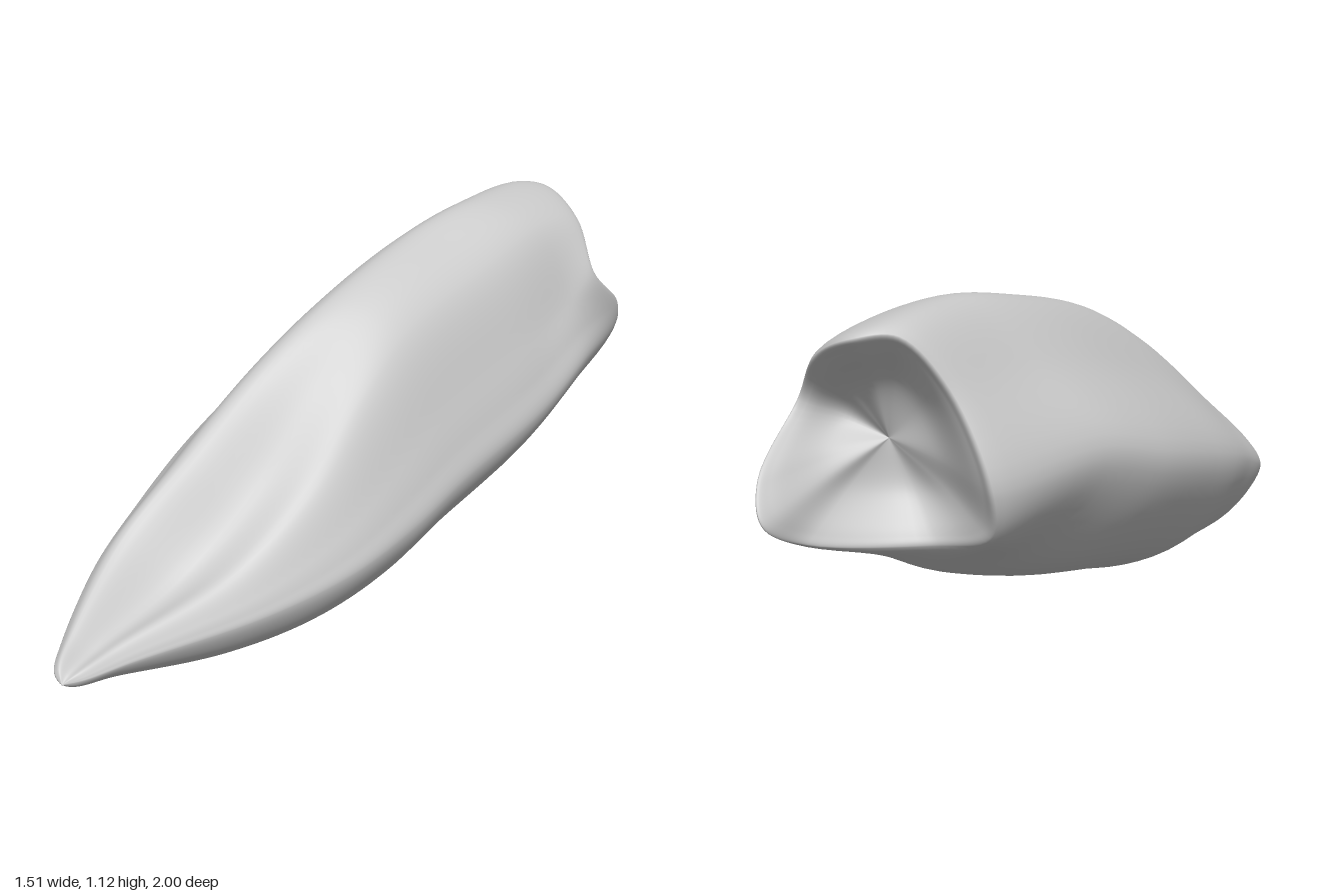
import * as THREE from 'three';

// Unit outlines, clockwise seen from the front: left, upper left, crest, scoop,
// ridge, right flank, lower flank, right, lower right, keel, lower left
const scooped = [[0, .66], [.07, .88], [.18, 1], [.5, .68], [.81, .75], [.94, .58], [.98, .49], [1, .4], [.85, .13], [.6, 0], [.22, .16]];
const domed = [[0, .42], [.24, .76], [.47, 1], [.63, .99], [.79, .89], [.92, .6], [.97, .46], [1, .33], [.87, .13], [.61, 0], [.26, .07]];

// Extents of the body from tip to rear: z, left, right, bottom, top
const stations = [
  [.97, -.75, -.66, .09, .15],
  [.87, -.76, -.55, .07, .205],
  [.6, -.735, -.21, .01, .38],
  [.4, -.68, .02, .005, .58],
  [.2, -.62, .18, .025, .8],
  [0, -.54, .31, .09, .945],
  [-.35, -.37, .53, .2, 1.06],
  [-.62, -.18, .66, .325, 1.115],
];

// Lobed rear rim with a notch on the right flank
const rim = [[.12, .67, -.97], [.23, .94, -.94], [.36, 1.09, -.96], [.48, 1.09, -.985], [.6, 1.01, -.86],
  [.665, .86, -.75], [.75, .69, -.94], [.735, .58, -1], [.63, .49, -.9], [.3, .45, -.79], [.13, .51, -.9]];

const AROUND = 88, ALONG = 96;

// The scooped front outline blends into the domed rear outline
function section([z, left, right, bottom, top]) {
  const blend = THREE.MathUtils.clamp((.6 - z) / .5, 0, 1);
  return scooped.map(([u, v], k) => new THREE.Vector3(
    THREE.MathUtils.lerp(left, right, THREE.MathUtils.lerp(u, domed[k][0], blend)),
    THREE.MathUtils.lerp(bottom, top, THREE.MathUtils.lerp(v, domed[k][1], blend)),
    z,
  ));
}

export function createModel() {
  const rimPoints = rim.map((p) => new THREE.Vector3(...p));
  const rings = [...stations.map(section), rimPoints];

  // Hollow rear: the rim turns inward to a shallow rounded bowl
  const hollow = new THREE.Vector3(.42, .74, -.71);
  for (const [t, depth] of [[.12, 0], [.5, .04]]) {
    rings.push(rimPoints.map((p) => {
      const q = p.clone().lerp(hollow, t);
      q.z += depth;
      return q;
    }));
  }

  // Smooth each section, then run smooth curves lengthwise through them
  const loops = rings.map((r) => new THREE.CatmullRomCurve3(r, true, 'centripetal'));
  const tip = new THREE.Vector3(-.72, .11, 1);
  const positions = [], index = [];
  for (let j = 0; j < AROUND; j++) {
    const column = [tip, ...loops.map((l) => l.getPoint(j / AROUND)), hollow];
    const curve = new THREE.CatmullRomCurve3(column, false, 'centripetal');
    for (let i = 0; i <= ALONG; i++) positions.push(...curve.getPoint(i / ALONG));
  }

  // Skin between neighbouring columns, with single triangles at both ends
  const id = (i, j) => (j % AROUND) * (ALONG + 1) + i;
  for (let j = 0; j < AROUND; j++) {
    for (let i = 0; i < ALONG; i++) {
      const a = id(i, j), b = id(i, j + 1), c = id(i + 1, j), d = id(i + 1, j + 1);
      if (i > 0) index.push(a, b, c);
      if (i < ALONG - 1) index.push(b, d, c);
    }
  }
  const geometry = new THREE.BufferGeometry();
  geometry.setAttribute('position', new THREE.Float32BufferAttribute(positions, 3));
  geometry.setIndex(index);
  geometry.computeVertexNormals();

  const body = new THREE.Mesh(geometry, new THREE.MeshStandardMaterial({ color: 0xcccccc }));
  body.name = 'shardBody';
  const group = new THREE.Group();
  group.name = 'pointedShard';
  group.add(body);
  return group;
}
